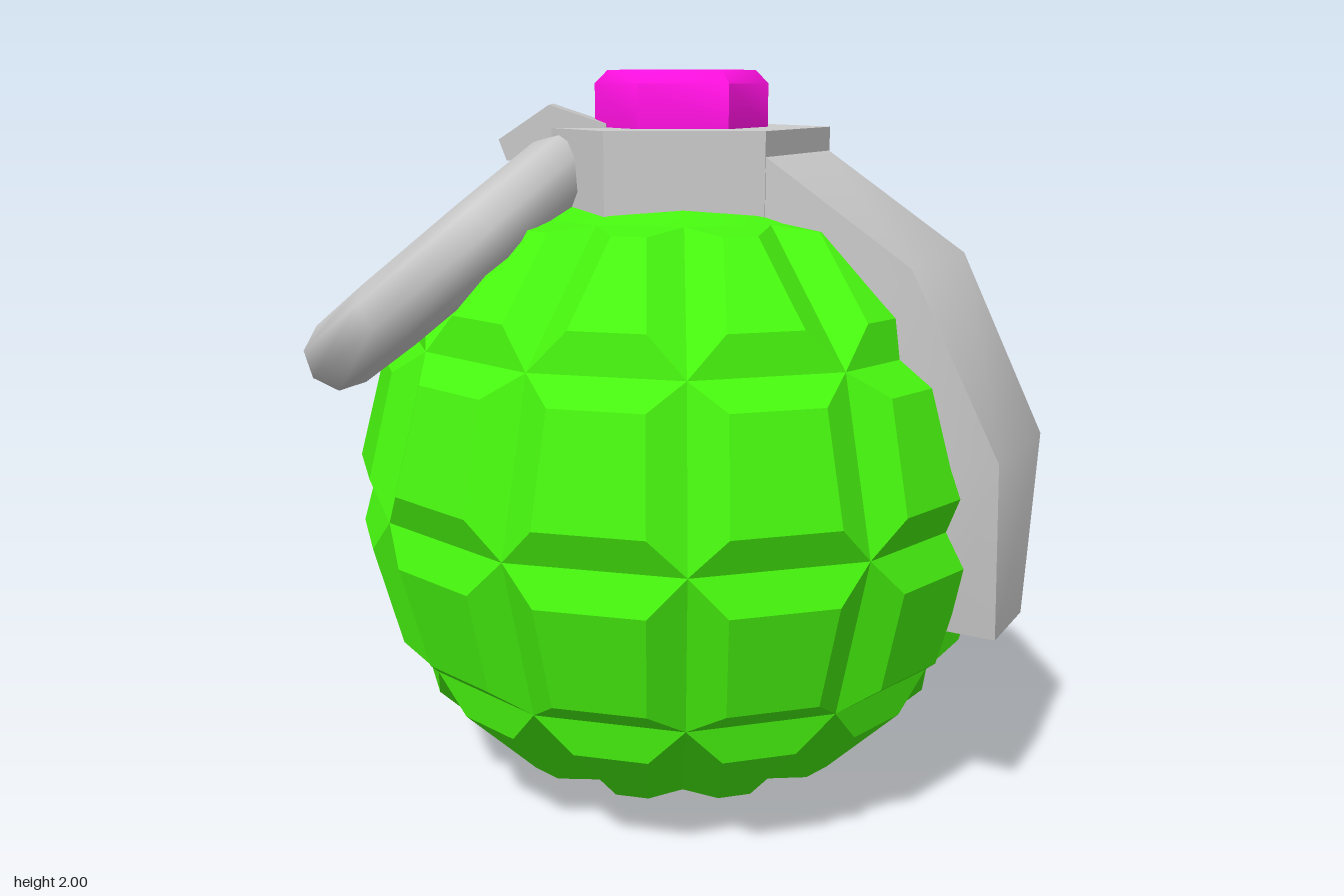
import * as THREE from 'three';
import { toCreasedNormals } from 'three/addons/utils/BufferGeometryUtils.js';

const grey = new THREE.MeshStandardMaterial({ color: 0xcccccc });
const green = new THREE.MeshStandardMaterial({ color: 0x47f50f });
const pink = new THREE.MeshStandardMaterial({ color: 0xff10e0 });

function addMesh(parent, name, geometry, material) {
  const mesh = new THREE.Mesh(geometry, material);
  mesh.name = name;
  parent.add(mesh);
  return mesh;
}

// Adds a four-cornered face, corners anticlockwise from outside
function quad(out, a, b, c, d) {
  for (const p of [a, b, c, a, c, d]) out.push(p.x, p.y, p.z);
}

function facesToGeometry(positions) {
  const g = new THREE.BufferGeometry();
  g.setAttribute('position', new THREE.Float32BufferAttribute(positions, 3));
  g.computeVertexNormals();
  return g;
}

// Raised panels on a 12 x 6 sphere: each face is inset and pushed outward
function panelGeometry(R, inset, height) {
  const out = [];
  const half = Math.PI / 12;
  for (let row = 1; row < 5; row++) {
    const ends = [row, row + 1].map((k) => {
      const phi = (k * Math.PI) / 6;
      return { r: R * Math.sin(phi), y: R - R * Math.cos(phi) };
    });
    const [lo, hi] = ends.map((e) => ({ y: e.y, rad: e.r * Math.cos(half), w: e.r * Math.sin(half) }));
    const slope = Math.hypot(hi.y - lo.y, hi.rad - lo.rad);
    const sideInset = inset * Math.hypot(1, (hi.w - lo.w) / slope);
    const ny = (lo.rad - hi.rad) / slope, nr = (hi.y - lo.y) / slope;
    const raised = (f) => ({
      y: THREE.MathUtils.lerp(lo.y, hi.y, f) + ny * height,
      rad: THREE.MathUtils.lerp(lo.rad, hi.rad, f) + nr * height,
      w: THREE.MathUtils.lerp(lo.w, hi.w, f) - sideInset,
    });
    const top = raised(1 - inset / slope), bottom = raised(inset / slope);
    for (let i = 0; i < 12; i++) {
      const a = (i * 2 + 1) * half;
      const s = Math.sin(a), c = Math.cos(a);
      const at = (p, side) => new THREE.Vector3(p.rad * s + side * p.w * c, p.y, p.rad * c - side * p.w * s);
      const base = [at(lo, -1), at(lo, 1), at(hi, 1), at(hi, -1)];
      const face = [at(bottom, -1), at(bottom, 1), at(top, 1), at(top, -1)];
      quad(out, ...face);
      for (let k = 0; k < 4; k++) {
        const n = (k + 1) % 4;
        quad(out, base[k], base[n], face[n], face[k]);
      }
    }
  }
  return facesToGeometry(out);
}

// Tapered bent bar: stations of outer point, inner point and half width
function leverGeometry(stations) {
  const out = [];
  const rings = stations.map(([xo, yo, xi, yi, w]) => [
    new THREE.Vector3(xo, yo, w), new THREE.Vector3(xo, yo, -w),
    new THREE.Vector3(xi, yi, -w), new THREE.Vector3(xi, yi, w),
  ]);
  for (let i = 0; i < rings.length - 1; i++) {
    for (let k = 0; k < 4; k++) {
      const n = (k + 1) % 4;
      quad(out, rings[i + 1][k], rings[i + 1][n], rings[i][n], rings[i][k]);
    }
  }
  quad(out, ...rings[0]);
  quad(out, ...rings[rings.length - 1].slice().reverse());
  return toCreasedNormals(facesToGeometry(out), 0.62);
}

export function createModel() {
  const model = new THREE.Group();
  model.name = 'grenade';

  // Body: panels plus plain caps at both poles
  const R = 0.87;
  const body = new THREE.Group();
  body.name = 'body';
  body.position.x = 0.03;
  model.add(body);
  addMesh(body, 'bodyPanels', panelGeometry(R, 0.082, 0.062), green);
  const capR = R / 2, capY = R * (1 - Math.cos(Math.PI / 6));
  const cap = (points) => new THREE.LatheGeometry(points.map(([x, y]) => new THREE.Vector2(x, y)), 12);
  addMesh(body, 'bottomCap', cap([[0, 0], [capR, capY]]), green);
  addMesh(body, 'topCap', cap([[capR, 2 * R - capY], [0, 2 * R]]), green);

  // Head: hexagonal collar, button and lever share one axis
  const head = new THREE.Group();
  head.name = 'head';
  head.position.set(0.033, 0, -0.03);
  model.add(head);
  const collar = new THREE.CylinderGeometry(0.405, 0.405, 0.25, 6).rotateY(Math.PI / 6);
  addMesh(head, 'collar', toCreasedNormals(collar, 0.5), grey).position.y = 1.725;

  const buttonProfile = [[0.235, 1.84], [0.235, 1.965], [0.2, 2], [0, 2]];
  const button = new THREE.LatheGeometry(buttonProfile.map(([x, y]) => new THREE.Vector2(x, y)), 6);
  button.rotateY(Math.PI / 6);
  addMesh(head, 'button', toCreasedNormals(button, 0.95), pink);

  // Lever leaves one side of the collar and bends down over the body
  const lever = addMesh(head, 'lever', leverGeometry([
    [0.345, 1.79, 0.31, 1.63, 0.2],
    [0.745, 1.53, 0.65, 1.43, 0.2],
    [0.98, 1.07, 0.85, 1.04, 0.185],
    [0.975, 0.59, 0.845, 0.59, 0.115],
  ]), grey);
  lever.rotation.y = -Math.PI / 6;

  // Eight-sided pull ring, hanging down at a slant
  const ring = new THREE.TorusGeometry(0.415, 0.1, 8, 8);
  ring.rotateZ(Math.PI / 8).rotateX(Math.PI / 2).rotateZ(0.685);
  addMesh(model, 'pullRing', ring, grey).position.set(-0.595, 1.494, -0.04);

  // Folded clip holding the ring to the collar
  const clipShape = new THREE.Shape([
    [-0.17, 1.86], [-0.32, 1.91], [-0.455, 1.82], [-0.435, 1.765], [-0.4, 1.765], [-0.31, 1.83], [-0.17, 1.8],
  ].map(([x, y]) => new THREE.Vector2(x, y)));
  const clip = new THREE.ExtrudeGeometry(clipShape, { depth: 0.19, bevelEnabled: false });
  addMesh(model, 'ringClip', clip, grey).position.z = -0.12;

  return model;
}
